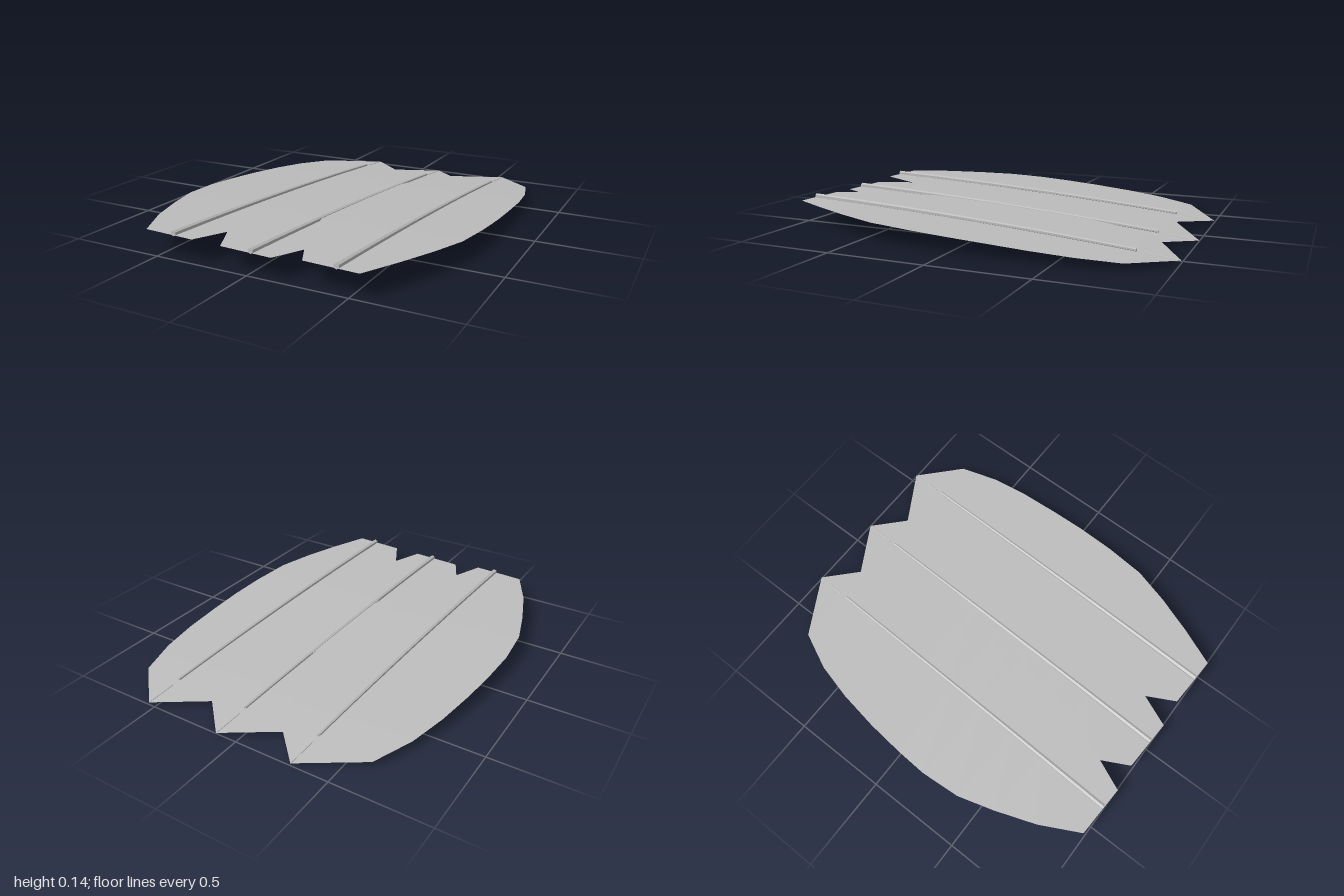
import * as THREE from 'three';

// outline of one feather as rows from tip to base: left x, left z, right x, right z
const ROWS = [
  [-0.305, -1, -0.305, -1], [-0.61, -0.82, -0.105, -0.8], [-0.70, -0.62, -0.055, -0.6],
  [-0.75, -0.42, -0.035, -0.4], [-0.785, -0.2, -0.03, -0.18], [-0.805, 0, -0.03, 0],
  [-0.815, 0.17, -0.04, 0.2], [-0.80, 0.38, -0.065, 0.42], [-0.745, 0.57, -0.125, 0.61],
  [-0.67, 0.78, -0.20, 0.8], [-0.565, 0.985, -0.29, 1],
];
const curveY = (z) => 0.081 + 0.0525 * z - 0.0155 * z * z; // lengthwise bow
const shaftX = (z) => -0.354 - 0.048 * z; // slanted centre line

// thin curved sheet: left edge, shaft line, right edge on every row
function vaneGeometry() {
  const pos = [], idx = [];
  ROWS.forEach(([lx, lz, rx, rz], i) => {
    const t = i === 0 ? 0 : (shaftX((lz + rz) / 2) - lx) / (rx - lx);
    const mz = lz + (rz - lz) * t;
    const mx = i === 0 ? lx : lx + (rx - lx) * t;
    pos.push(lx, curveY(lz), lz, mx, curveY(mz), mz, rx, curveY(rz), rz);
    if (i === 0) return;
    for (let j = 0; j < 2; j++) {
      const a = (i - 1) * 3 + j, c = i * 3 + j;
      if (i > 1) idx.push(a, c, a + 1);
      idx.push(a + 1, c, c + 1);
    }
  });
  const g = new THREE.BufferGeometry();
  g.setAttribute('position', new THREE.Float32BufferAttribute(pos, 3));
  g.setIndex(idx);
  g.computeVertexNormals();
  return g;
}

// tapering rod that follows the bow, from z0 (radius r0) to z1 (radius r1)
function rodGeometry(z0, z1, r0, r1, lift) {
  const g = new THREE.CylinderGeometry(1, 1, 1, 6, 10).rotateX(Math.PI / 2).toNonIndexed();
  const p = g.attributes.position;
  for (let i = 0; i < p.count; i++) {
    const t = p.getZ(i) + 0.5;
    const z = z0 + (z1 - z0) * t, r = r0 + (r1 - r0) * t;
    p.setXYZ(i, shaftX(z) + p.getX(i) * r, curveY(z) + lift + p.getY(i) * r, z);
  }
  g.computeVertexNormals();
  return g;
}

export function createModel() {
  const grey = new THREE.MeshStandardMaterial({ color: 0xbdbdbd, side: THREE.DoubleSide });
  grey.name = 'feather grey';
  const parts = {
    vane: vaneGeometry(),
    shaft: rodGeometry(-0.8, 0.99, 0.008, 0.014, 0.007),
    tipSpine: rodGeometry(-0.998, -0.84, 0.003, 0.004, 0),
  };

  const model = new THREE.Group();
  model.name = 'feathers';
  // three overlapping feathers, the middle one tucked below
  ['rightFeather', 'middleFeather', 'leftFeather'].forEach((name, i) => {
    const feather = new THREE.Group();
    feather.name = name;
    for (const [part, geometry] of Object.entries(parts)) {
      const mesh = new THREE.Mesh(geometry, grey);
      mesh.name = part;
      feather.add(mesh);
    }
    feather.position.set(i * 0.42, i === 1 ? -0.01 : 0, 0);
    model.add(feather);
  });
  return model;
}
